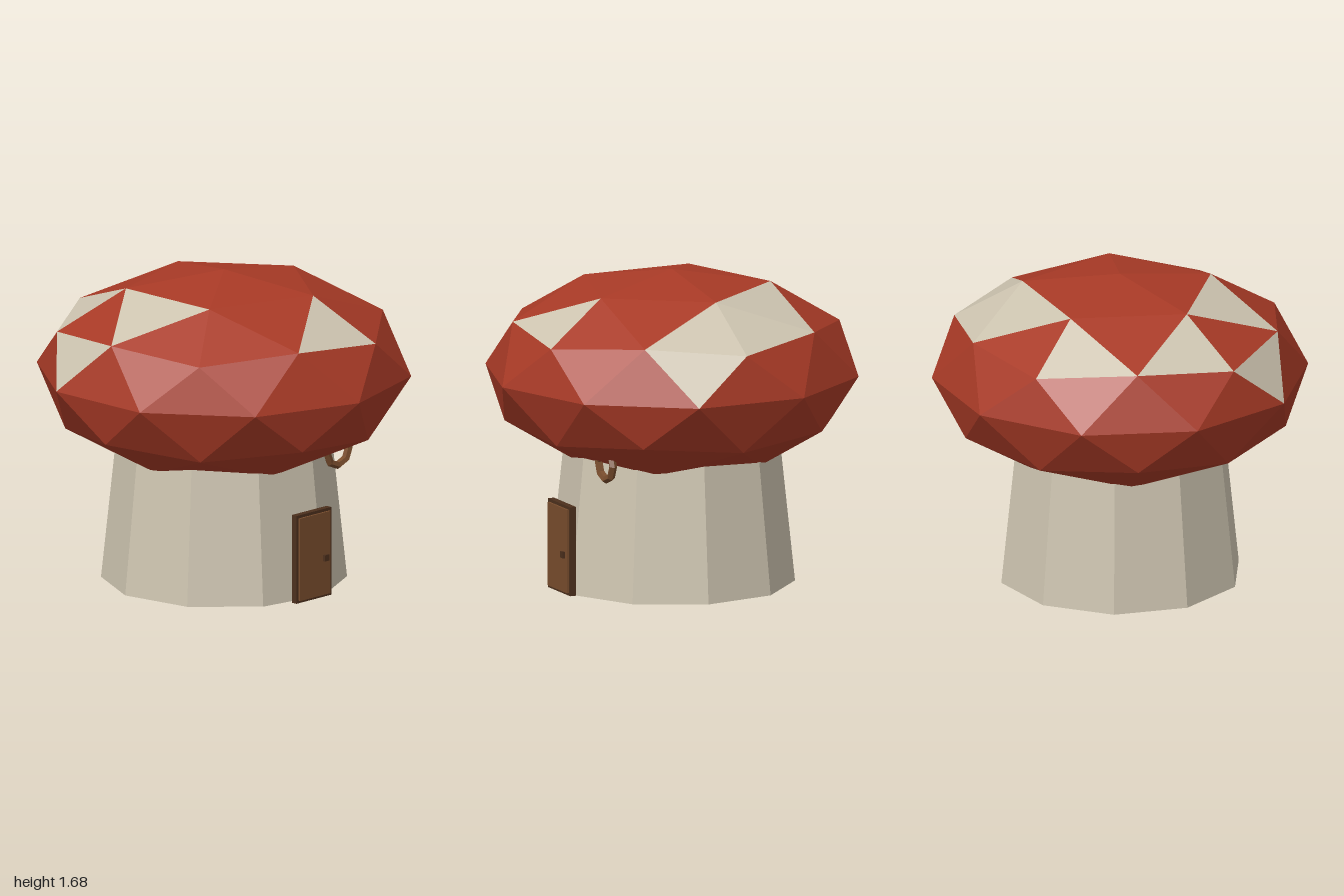
import * as THREE from 'three';

const flat = (name, color, extra = {}) => {
  const m = new THREE.MeshStandardMaterial({ color, flatShading: true, ...extra });
  m.name = name;
  return m;
};

// Faceted cap: a squashed, once-divided icosahedron, faces sorted into two colours
function capGeometry() {
  const centreY = 1.135, squash = 0.546;
  const p = (r, y, deg) => {
    const a = THREE.MathUtils.degToRad(deg);
    return new THREE.Vector3(r * Math.cos(a), y, -r * Math.sin(a));
  };
  // Pale faces of each of the five upper sectors
  const paleFaces = [[1, 2], [2, 3], [1, 5], [3], [3, 6]];
  const red = [], pale = [];
  const add = (list, tri) => tri.forEach(v => list.push(v.x, centreY + v.y * squash, v.z));

  for (let k = 0; k < 5; k++) {
    const a = 72 * k;
    const apex = p(0, 1, 0);
    const m0 = p(0.5257, 0.8507, a), m1 = p(0.5257, 0.8507, a + 72);
    const u0 = p(0.8944, 0.4472, a), u1 = p(0.8944, 0.4472, a + 72);
    const n = p(0.8507, 0.5257, a + 36);
    const e0 = p(1, 0, a + 18), e1 = p(1, 0, a + 54);
    const low = p(0.8944, -0.4472, a + 36);
    const faces = [
      [apex, m0, m1], [m0, n, m1], [m0, u0, n], [m1, n, u1],
      [n, e0, e1], [u0, e0, n], [u1, n, e1], [low, e1, e0],
    ];
    faces.forEach((f, i) => {
      add(paleFaces[k].includes(i) ? pale : red, f);
      // The other half is the point reflection, with reversed winding
      add(red, [f[0], f[2], f[1]].map(v => v.clone().negate()));
    });
  }
  const g = new THREE.BufferGeometry();
  g.setAttribute('position', new THREE.Float32BufferAttribute(red.concat(pale), 3));
  g.addGroup(0, red.length / 3, 0);
  g.addGroup(red.length / 3, pale.length / 3, 1);
  g.computeVertexNormals();
  return g;
}

export function createModel() {
  const root = new THREE.Group();
  root.name = 'mushroomHouse';
  const capRed = flat('capRed', 0xa83a26);
  const cream = flat('cream', 0xcdc4b0);
  const wood = flat('wood', 0x794d2d);
  const darkWood = flat('darkWood', 0x4d301d);

  const part = (name, geometry, material, x = 0, y = 0, z = 0, parent = root) => {
    const mesh = new THREE.Mesh(geometry, material);
    mesh.name = name;
    mesh.position.set(x, y, z);
    parent.add(mesh);
    return mesh;
  };

  part('cap', capGeometry(), [capRed, cream]);

  // Tapered ten-sided stem, its top hidden in the cap
  const stem = part('stem', new THREE.CylinderGeometry(0.545, 0.65, 1, 10), cream, 0, 0.5, 0);
  stem.rotation.y = THREE.MathUtils.degToRad(9);

  // Door: dark frame slab, raised panel and knob
  const door = new THREE.Group();
  door.name = 'door';
  root.add(door);
  part('doorFrame', new THREE.BoxGeometry(0.262, 0.48, 0.034), darkWood, 0, 0.24, 0.648, door);
  part('doorPanel', new THREE.BoxGeometry(0.23, 0.45, 0.012), wood, 0, 0.239, 0.67, door);
  part('doorKnob', new THREE.BoxGeometry(0.034, 0.034, 0.016), darkWood, 0.076, 0.216, 0.682, door);

  // Wooden ring hanging from the underside of the cap
  part('hangingRing', new THREE.TorusGeometry(0.084, 0.022, 5, 8), wood, 0.307, 0.736, 0.541);

  return root;
}
